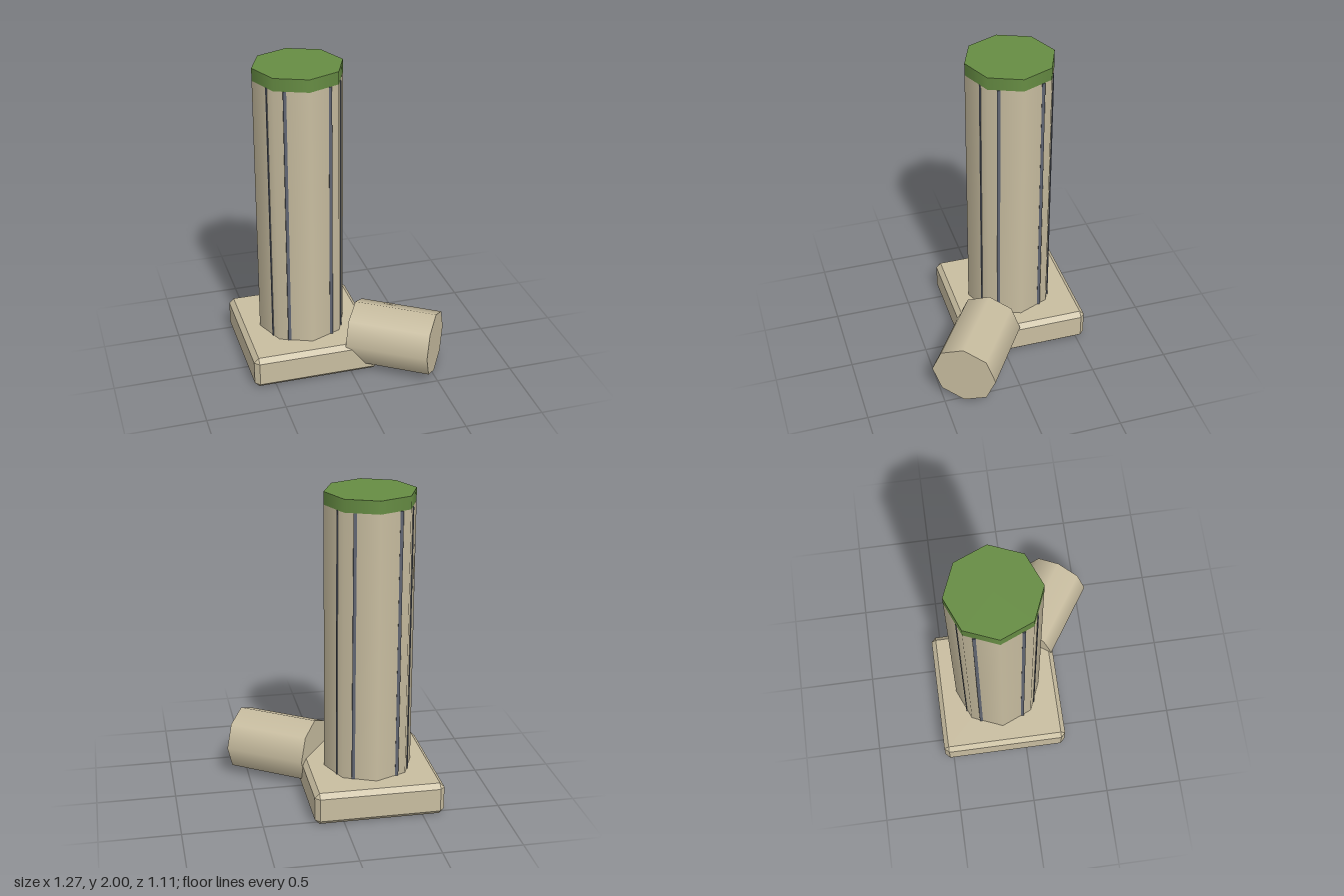
import * as THREE from 'three';
import { ConvexGeometry } from 'three/addons/geometries/ConvexGeometry.js';

const CX = -0.227, CZ = -0.145; // shared centre of plinth and column

function material(name, color) {
  const m = new THREE.MeshStandardMaterial({ color });
  m.name = name;
  return m;
}

// Box with every edge cut by the same chamfer, standing on y = 0
function chamferedBox(w, h, d, c) {
  const points = [];
  for (const sx of [-1, 1]) for (const sy of [-1, 1]) for (const sz of [-1, 1]) {
    for (const [ax, ay, az] of [[0, c, c], [c, 0, c], [c, c, 0]]) {
      points.push(new THREE.Vector3(sx * (w / 2 - ax), h / 2 + sy * (h / 2 - ay), sz * (d / 2 - az)));
    }
  }
  return new ConvexGeometry(points);
}

export function createModel() {
  const stone = material('sandstone', 0xc8bda0);
  const green = material('green', 0x668c43);
  const slate = material('slate', 0x5f6470);

  const model = new THREE.Group();
  model.name = 'columnWithStub';

  function add(name, geometry, mat, x, y, z, parent = model) {
    const mesh = new THREE.Mesh(geometry, mat);
    mesh.name = name;
    mesh.position.set(x, y, z);
    parent.add(mesh);
    return mesh;
  }

  // Plinth
  add('plinth', chamferedBox(0.82, 0.21, 0.82, 0.03), stone, CX, 0, CZ);

  // Octagonal column with a green band and lid at the top
  add('column', new THREE.CylinderGeometry(0.283, 0.283, 1.74, 8), stone, CX, 1.05, CZ);
  add('columnTop', new THREE.CylinderGeometry(0.283, 0.283, 0.08, 8), green, CX, 1.96, CZ);

  // Two upright stripes on each of the four sides
  const stripe = new THREE.BoxGeometry(0.02, 1.72, 0.006);
  for (let i = 0; i < 4; i++) {
    const side = new THREE.Group();
    side.name = 'stripePair';
    side.position.set(CX, 0, CZ);
    side.rotation.y = i * Math.PI / 2;
    for (const s of [-1, 1]) add('stripe', stripe, slate, s * 0.139, 1.06, 0.228, side);
    model.add(side);
  }

  // Octagonal stub lying at an angle across the plinth corner
  const stub = new THREE.CylinderGeometry(0.21, 0.21, 0.535, 8).rotateZ(-Math.PI / 2);
  add('stub', stub, stone, 0.298, 0.21, 0.228).rotation.y = -Math.atan2(0.3, 0.445);

  return model;
}
